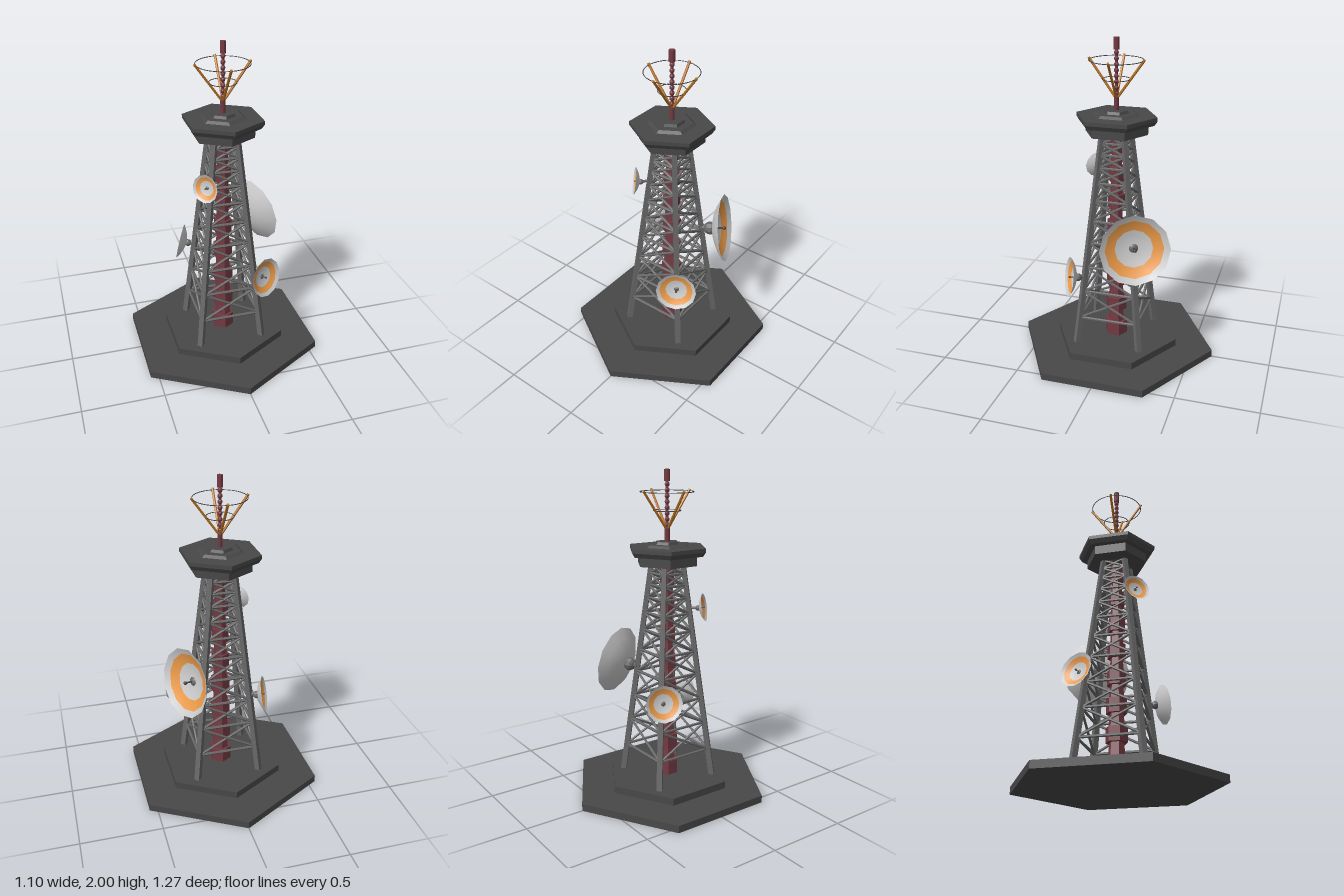
import * as THREE from 'three';

const mat = (color, extra = {}) => {
  const m = new THREE.MeshStandardMaterial({ color, ...extra });
  return m;
};
const V = (x, y, z) => new THREE.Vector3(x, y, z);
const UP = V(0, 1, 0);

export function createModel() {
  const root = new THREE.Group();
  const flat = { flatShading: true };
  const dark = mat(0x484848, flat);
  const steel = mat(0x686868, flat);
  const red = mat(0x743a42, flat);
  const bronze = mat(0xb87325, flat);
  const wire = mat(0x444444);
  const shell = mat(0xcccccc, { side: THREE.DoubleSide });
  const band = mat(0xeb9a48, { side: THREE.DoubleSide });

  const add = (parent, name, geometry, material) => {
    const mesh = new THREE.Mesh(geometry, material);
    mesh.name = name;
    parent.add(mesh);
    return mesh;
  };
  // straight bar between two points
  const strut = (parent, name, a, b, r, material, sides = 6, rEnd = r) => {
    const d = b.clone().sub(a);
    const m = add(parent, name, new THREE.CylinderGeometry(rEnd, r, d.length(), sides), material);
    m.position.copy(a).add(b).multiplyScalar(0.5);
    m.quaternion.setFromUnitVectors(UP, d.normalize());
    return m;
  };
  // upright prism or frustum from y0 to y1
  const prism = (parent, name, y0, y1, r0, r1, material, sides = 6) => {
    const m = add(parent, name, new THREE.CylinderGeometry(r1, r0, y1 - y0, sides), material);
    m.position.y = (y0 + y1) / 2;
    return m;
  };

  // ground slab
  prism(root, 'groundSlab', 0, 0.045, 0.635, 0.635, dark);

  const tower = new THREE.Group();
  tower.name = 'tower';
  tower.position.x = 0.008;
  root.add(tower);
  prism(tower, 'plinth', 0.045, 0.09, 0.4, 0.4, dark);

  // four tapering legs
  const half = (y) => 0.203 + (0.069 - 0.203) * (y - 0.09) / 1.35;
  const corners = [[1, 1], [1, -1], [-1, -1], [-1, 1]];
  const at = (i, y) => {
    const [sx, sz] = corners[i % 4];
    return V(sx * half(y), y, sz * half(y));
  };
  for (let i = 0; i < 4; i++) strut(tower, 'leg', at(i, 0.085), at(i, 1.45), 0.024, steel, 4, 0.02);

  // lattice of rails and crossed braces on each face
  const levels = [0.26, 0.44, 0.6, 0.76, 0.9, 1.03, 1.14, 1.235, 1.315, 1.385, 1.445];
  const lattice = new THREE.Group();
  lattice.name = 'lattice';
  tower.add(lattice);
  levels.forEach((y, k) => {
    for (let i = 0; i < 4; i++) {
      strut(lattice, 'rail', at(i, y), at(i + 1, y), 0.009, steel);
      if (k === levels.length - 1) continue;
      strut(lattice, 'brace', at(i, y), at(i + 1, levels[k + 1]), 0.008, steel);
      strut(lattice, 'brace', at(i + 1, y), at(i, levels[k + 1]), 0.008, steel);
    }
  });

  // central column of alternating collars and shafts
  const column = new THREE.Group();
  column.name = 'column';
  tower.add(column);
  for (let k = 0; k < 8; k++) {
    const y = 0.09 + k * 0.175;
    const r = 0.071 - k * 0.0035;
    const top = Math.min(y + 0.175, 1.45);
    prism(column, 'collar', y, y + 0.09, r, r, red);
    prism(column, 'shaft', y + 0.09, top, r * 0.75, r * 0.62, red);
  }

  // head platform
  prism(tower, 'platformUnderside', 1.44, 1.5, 0.195, 0.195, dark);
  prism(tower, 'platformDeck', 1.498, 1.525, 0.232, 0.25, dark);
  prism(tower, 'platformRim', 1.525, 1.548, 0.25, 0.25, dark);
  prism(tower, 'platformStep', 1.548, 1.562, 0.145, 0.125, dark);
  prism(tower, 'platformCap', 1.562, 1.578, 0.078, 0.07, dark);

  // antenna mast with beads and a thicker tip
  const antenna = new THREE.Group();
  antenna.name = 'antenna';
  tower.add(antenna);
  prism(antenna, 'mastBase', 1.57, 1.66, 0.016, 0.016, red, 8);
  prism(antenna, 'mast', 1.65, 1.94, 0.009, 0.009, red, 8);
  for (let k = 0; k < 8; k++) {
    const bead = add(antenna, 'mastBead', new THREE.SphereGeometry(0.015, 8, 6), red);
    bead.position.y = 1.675 + k * 0.034;
  }
  prism(antenna, 'mastTip', 1.93, 2, 0.018, 0.018, red, 8);

  // four splayed arms joined by wire hoops
  for (let i = 0; i < 4; i++) {
    const a = i * Math.PI / 2;
    const c = Math.cos(a), s = Math.sin(a);
    strut(antenna, 'arm', V(0.005 * c, 1.65, 0.005 * s), V(0.168 * c, 1.878, 0.168 * s), 0.008, bronze);
  }
  for (const [r, y] of [[0.16, 1.87], [0.082, 1.76]]) {
    const hoop = add(antenna, 'wireHoop', new THREE.TorusGeometry(r, 0.0025, 5, 32), wire);
    hoop.rotation.x = Math.PI / 2;
    hoop.position.y = y;
  }

  // dish bowl, with its opening along the given normal
  const bowl = (t, lift = 0) => -0.36 * (1 - t * t) + lift;
  const lathe = (t0, t1, lift, R) => {
    const pts = [];
    for (let k = 0; k <= 4; k++) {
      const t = t0 + (t1 - t0) * k / 4;
      pts.push(new THREE.Vector2(t * R, bowl(t, lift * (1 - t)) * R));
    }
    if (lift > 0) pts.reverse();
    return new THREE.LatheGeometry(pts, 12);
  };
  const dish = (name, center, normal, R, legIndex) => {
    const g = new THREE.Group();
    g.name = name;
    g.position.copy(center);
    // keep the dish level, then tip it towards the normal
    const n = normal.clone().normalize();
    const side = V(n.z, 0, -n.x).normalize();
    g.quaternion.setFromRotationMatrix(new THREE.Matrix4().makeBasis(side, n, side.clone().cross(n)));
    root.add(g);
    add(g, 'dishBack', lathe(0, 1, 0, R), shell);
    add(g, 'dishCentre', lathe(0, 0.54, 0.07, R), shell);
    add(g, 'dishBand', lathe(0.54, 0.83, 0.07, R), band);
    add(g, 'dishRim', lathe(0.83, 1, 0.07, R), shell);
    strut(g, 'feedRod', V(0, -0.34 * R, 0), V(0, -0.02 * R, 0), 0.025 * R, wire);
    add(g, 'feedTip', new THREE.SphereGeometry(0.055 * R, 8, 6), wire).position.y = -0.02 * R;
    add(g, 'hub', new THREE.SphereGeometry(0.2 * R, 10, 8), steel).position.y = -0.44 * R;
    // bracket from hub to the nearest leg
    const hub = center.clone().addScaledVector(n, -0.44 * R);
    const foot = at(legIndex, hub.y).add(tower.position);
    strut(root, name + 'Bracket', foot, hub, 0.09 * R, steel);
  };
  dish('largeDish', V(0.28, 0.81, -0.195), V(0.9, 0.16, -0.4), 0.214, 1);
  dish('frontDish', V(0.222, 0.55, 0.242), V(0.5, 0.16, 0.86), 0.125, 0);
  dish('backDish', V(-0.225, 0.65, -0.187), V(-0.92, 0.2, -0.38), 0.113, 2);
  dish('upperDish', V(-0.148, 1.18, 0.165), V(-0.74, 0.16, 0.66), 0.086, 3);

  return root;
}
